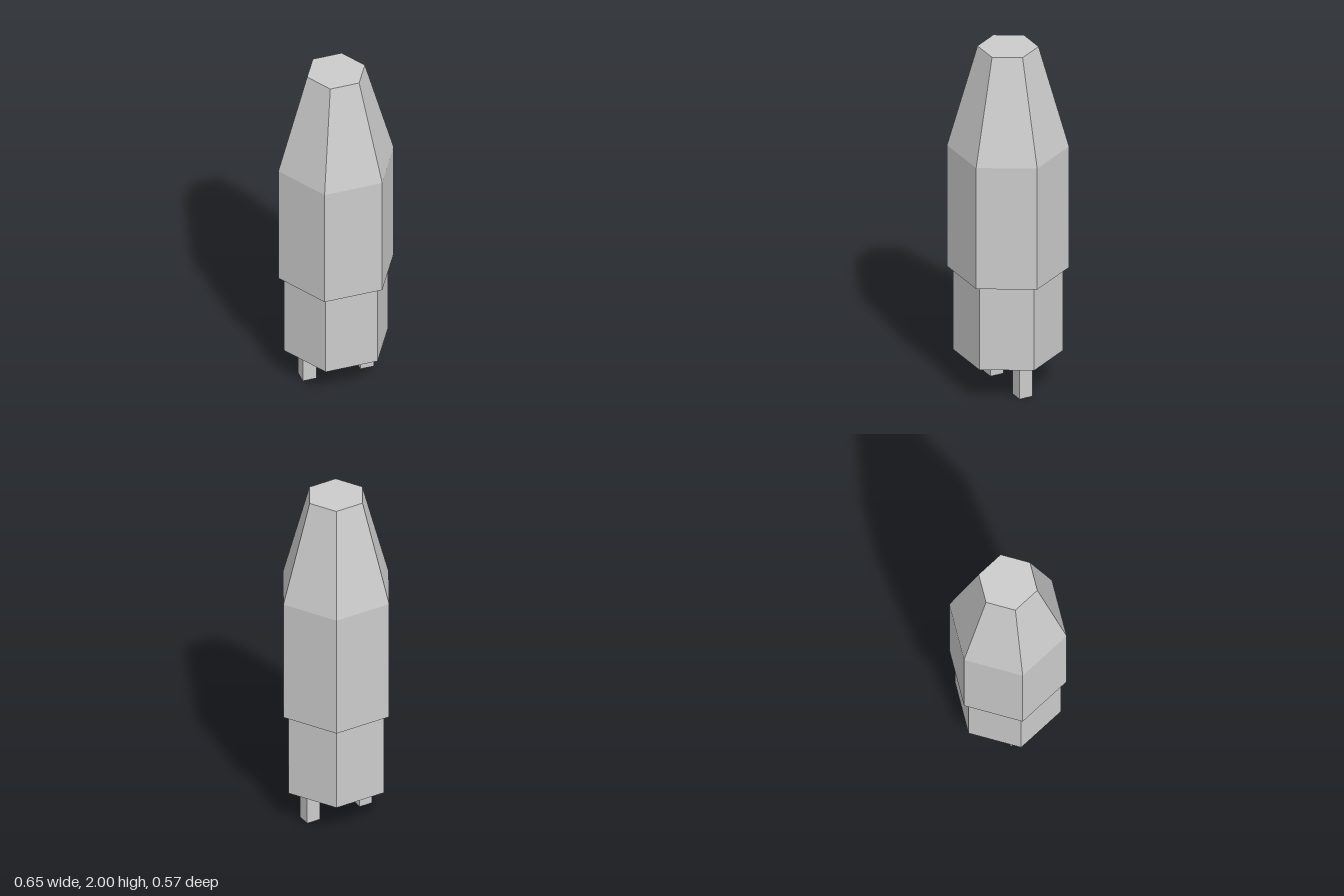
import * as THREE from 'three';

const material = new THREE.MeshStandardMaterial({ color: 0xcccccc, flatShading: true, side: THREE.DoubleSide });

export function createModel() {
  const group = new THREE.Group();

  const add = (name, geometry, x, y) => {
    const mesh = new THREE.Mesh(geometry, material);
    mesh.name = name;
    mesh.position.set(x, y, 0);
    group.add(mesh);
  };

  // Hexagonal section with corners on the x axis, spanning y0 to y1
  const hexSection = (name, rTop, rBottom, y0, y1, open) =>
    add(name, new THREE.CylinderGeometry(rTop, rBottom, y1 - y0, 6, 1, open, Math.PI / 2), 0, (y0 + y1) / 2);

  // Lower plug body
  hexSection('lowerBody', 0.294, 0.294, 0.2, 0.693, false);

  // Hollow outer sleeve, open underneath
  hexSection('sleeve', 0.327, 0.327, 0.693, 1.41, true);

  // Tapered nose and its flat cap
  hexSection('taperedNose', 0.1635, 0.327, 1.41, 2, true);
  const cap = new THREE.CircleGeometry(0.1635, 6);
  cap.rotateX(-Math.PI / 2);
  add('noseCap', cap, 0, 2);

  // Two square prongs
  for (const side of [-1, 1]) {
    add(side > 0 ? 'leftProng' : 'rightProng', new THREE.BoxGeometry(0.078, 0.2, 0.078), side * 0.163, 0.1);
  }

  return group;
}
